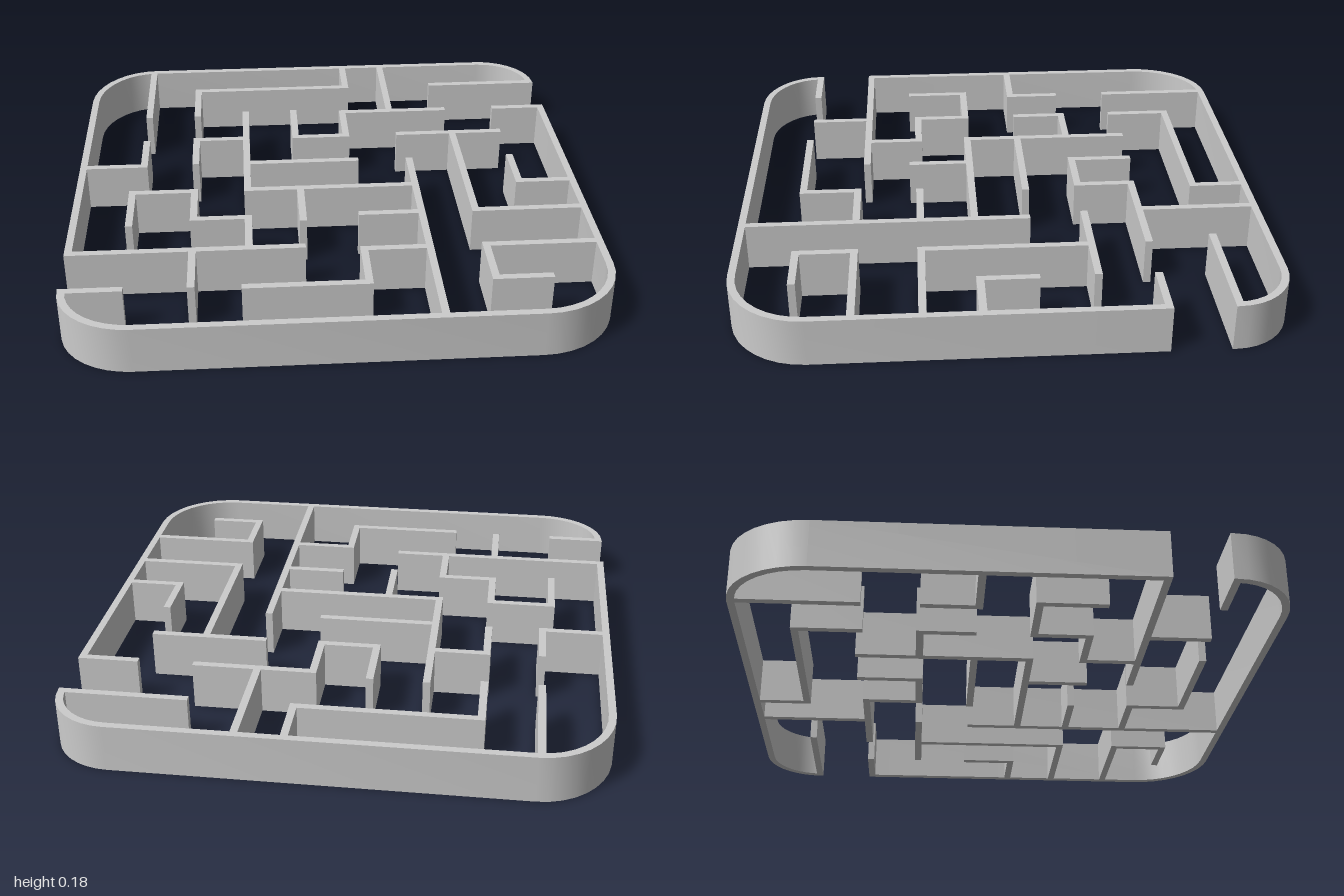
import * as THREE from 'three';
import { toCreasedNormals } from 'three/addons/utils/BufferGeometryUtils.js';

const HEIGHT = 0.18;
const T = 0.014; // half the wall thickness
const E = 1 - T; // centreline of the outer wall
const F = E - T; // inner face of the outer wall

// Rounded corner from a to b around the square corner point c, all [x, z]
function corner(a, c, b, steps = 9) {
  return Array.from({ length: steps + 1 }, (_, i) => {
    const t = (i / steps) * Math.PI / 2;
    return [0, 1].map(k => c[k] + (a[k] - c[k]) * (1 - Math.sin(t)) + (b[k] - c[k]) * (1 - Math.cos(t)));
  });
}

// Upright wall of constant thickness along a floor path, with mitred joints
function wallGeometry(path) {
  const pts = path.map(([x, z]) => new THREE.Vector2(x, -z));
  const left = [], right = [];
  pts.forEach((p, i) => {
    const before = p.clone().sub(pts[Math.max(i - 1, 0)]).normalize();
    const after = pts[Math.min(i + 1, pts.length - 1)].clone().sub(p).normalize();
    if (i === 0) before.copy(after);
    if (i === pts.length - 1) after.copy(before);
    const n = new THREE.Vector2(-before.y - after.y, before.x + after.x).normalize();
    const scale = T / (n.x * -after.y + n.y * after.x);
    left.push(p.clone().addScaledVector(n, scale));
    right.unshift(p.clone().addScaledVector(n, -scale));
  });
  const geo = new THREE.ExtrudeGeometry(new THREE.Shape([...left, ...right]), { depth: HEIGHT, bevelEnabled: false });
  geo.rotateX(-Math.PI / 2);
  return toCreasedNormals(geo, 0.6);
}

export function createModel() {
  const maze = new THREE.Group();
  maze.name = 'maze';
  const material = new THREE.MeshStandardMaterial({ color: 0xcccccc });
  const addWall = (name, path) => {
    const mesh = new THREE.Mesh(wallGeometry(path), material);
    mesh.name = name;
    maze.add(mesh);
  };

  // Outer wall in two runs, leaving an entrance and an exit
  addWall('outerWallBack', [
    [-0.11, 0.523], [-E, 0.523],
    ...corner([-E, -0.7], [-E, -E], [-0.73, -E]),
    ...corner([0.77, -E], [E, -E], [E, -0.78]),
    [0.52, -0.78],
  ]);
  addWall('outerWallFront', [
    [0.77, -0.535], [E, -0.535],
    ...corner([E, 0.71], [E, E], [0.7, E]),
    ...corner([-0.73, E], [-E, E], [-E, 0.76]),
    [-0.77, 0.76],
  ]);

  // Inner walls; ends that meet another wall stop at its face
  const inner = {
    backLeft: [
      [[-0.74, -F], [-0.74, -0.53]],
      [[0.137, -F], [0.137, -0.78], [-0.53, -0.78], [-0.53, -0.53]],
      [[-F, -0.11], [-0.74, -0.11], [-0.74, -0.32]],
    ],
    backRight: [
      [[0.313, -F], [0.313, -0.535 - T]],
      [[0.56, -0.535], [0.105, -0.535], [0.105, -0.32], [-0.11, -0.32], [-0.11, -0.565]],
    ],
    centre: [
      [[-0.32, -0.565], [-0.32, 0.103], [0.35 - T, 0.103]],
      [[-0.32 - T, -0.32], [-0.53, -0.32], [-0.53, -0.11]],
      [[-0.32 + T, -0.11], [0.14, -0.11]],
      [[-0.11, 0.103 + T], [-0.11, 0.35]],
      [[0.35, -0.11], [0.35, F]],
      [[0.105, 0.31], [0.35 - T, 0.31]],
    ],
    right: [
      [[0.32, -0.32], [0.77, -0.32]],
      [[0.56, -0.32 + T], [0.56, 0.31], [F, 0.31]],
      [[0.77, -0.11], [0.77, 0.103], [F, 0.103]],
    ],
    frontLeft: [
      [[-0.775, 0.35], [-0.775, 0.103], [-0.53, 0.103], [-0.53, 0.31], [-0.32, 0.31], [-0.32, 0.523 - T]],
      [[-0.53, 0.523 + T], [-0.53, 0.765]],
      [[-0.35, 0.77], [0.105, 0.77], [0.105, 0.555], [0.35 - T, 0.555]],
    ],
    frontRight: [
      [[F, 0.555], [0.56, 0.555], [0.56, 0.77], [0.77, 0.77]],
    ],
  };
  for (const [area, paths] of Object.entries(inner)) {
    paths.forEach((path, i) => addWall(`${area}Wall${i + 1}`, path));
  }
  return maze;
}
